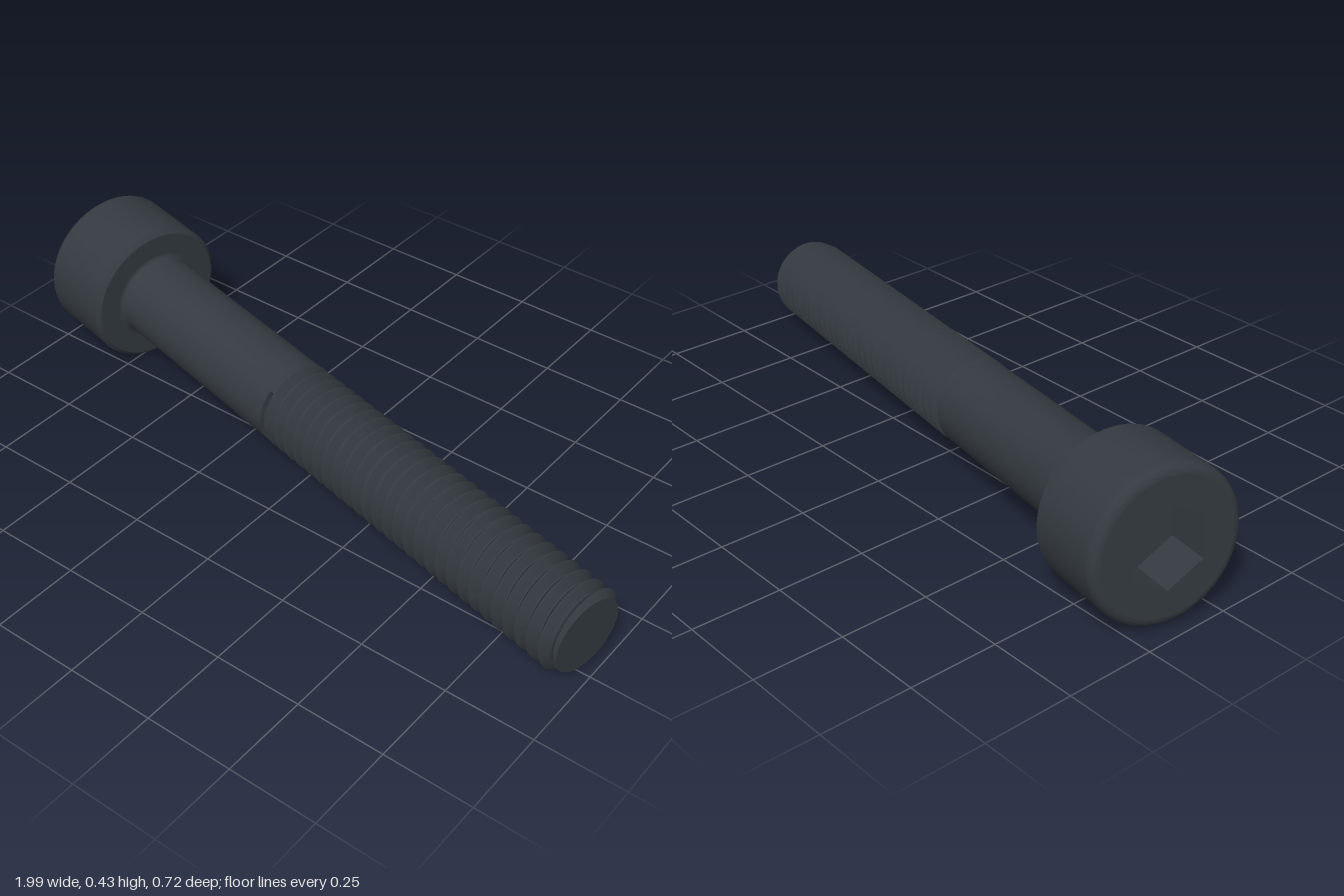
import * as THREE from 'three';
import { toCreasedNormals } from 'three/addons/utils/BufferGeometryUtils.js';

const HEAD_R = 0.2095, HEAD_H = 0.247, FILLET = 0.026;
const SHANK_R = 0.122, CREST_R = 0.1235, ROOT_R = 0.1, TIP_R = 0.106;
const LENGTH = 1.977, THREAD_START = 0.885, PITCH = 0.0395;
const HEX_R = 0.114, HEX_DEPTH = 0.124;
const SEGMENTS = 64;

const steel = new THREE.MeshStandardMaterial({ color: 0x343a40, side: THREE.DoubleSide });
steel.name = 'dark steel';

function part(name, geometry, y = 0) {
  const mesh = new THREE.Mesh(geometry, steel);
  mesh.name = name;
  mesh.position.y = y;
  return mesh;
}

function lathe(points) {
  const profile = points.map(([r, y]) => new THREE.Vector2(r, y));
  return toCreasedNormals(new THREE.LatheGeometry(profile, SEGMENTS), 0.5);
}

// Quarter-round profile points about (r, y), from angle a to angle b
function arc(r, y, radius, a, b, steps = 6) {
  return Array.from({ length: steps + 1 }, (_, i) => {
    const t = a + (b - a) * i / steps;
    return [r + radius * Math.cos(t), y + radius * Math.sin(t)];
  });
}

// Helical thread: rows of crest and root points that climb one pitch per turn
function threadGeometry() {
  const rows = [[0, CREST_R], [0.1, CREST_R], [0.5, ROOT_R], [0.62, ROOT_R]];
  const turns = Math.ceil((LENGTH - THREAD_START) / PITCH) + 1;
  const positions = [], index = [];
  let count = 0;
  for (let turn = -1; turn < turns; turn++) {
    for (const [offset, radius] of rows) {
      for (let j = 0; j <= SEGMENTS; j++) {
        const a = j / SEGMENTS * Math.PI * 2;
        const raw = THREAD_START + PITCH * (turn + offset + j / SEGMENTS);
        const y = Math.min(Math.max(raw, THREAD_START), LENGTH);
        // run-out to the shank, and a chamfer at the tip
        let r = raw <= THREAD_START ? SHANK_R : radius;
        r = raw >= LENGTH ? TIP_R : Math.min(r, TIP_R + LENGTH - y);
        positions.push(r * Math.sin(a), y, r * Math.cos(a));
      }
      count++;
    }
  }
  const w = SEGMENTS + 1;
  for (let i = 0; i < count - 1; i++) {
    for (let j = 0; j < SEGMENTS; j++) {
      const a = i * w + j, b = a + 1, c = a + w, d = c + 1;
      index.push(a, b, c, b, d, c);
    }
  }
  const geometry = new THREE.BufferGeometry();
  geometry.setAttribute('position', new THREE.Float32BufferAttribute(positions, 3));
  geometry.setIndex(index);
  return toCreasedNormals(geometry, 0.5);
}

// Flat head face with a hexagonal opening
function headFaceGeometry() {
  const shape = new THREE.Shape().absarc(0, 0, HEAD_R - FILLET, 0, Math.PI * 2);
  const hex = Array.from({ length: 6 }, (_, i) => new THREE.Vector2(
    HEX_R * Math.cos(i * Math.PI / 3), HEX_R * Math.sin(i * Math.PI / 3)));
  shape.holes.push(new THREE.Path(hex));
  return new THREE.ShapeGeometry(shape, SEGMENTS / 2).rotateX(Math.PI / 2);
}

export function createModel() {
  const model = new THREE.Group();
  model.name = 'socketHeadScrew';
  const screw = new THREE.Group();
  screw.name = 'screw';
  model.add(screw);

  // Head: rounded outer rim, small chamfer beneath
  screw.add(part('head', lathe([
    ...arc(HEAD_R - FILLET, FILLET, FILLET, -Math.PI / 2, 0),
    [HEAD_R, HEAD_H - 0.012], [HEAD_R - 0.012, HEAD_H], [SHANK_R, HEAD_H],
  ])));
  screw.add(part('headFace', headFaceGeometry()));

  // Hexagonal drive socket
  const walls = new THREE.CylinderGeometry(HEX_R, HEX_R, HEX_DEPTH, 6, 1, true, Math.PI / 6).toNonIndexed();
  walls.computeVertexNormals();
  screw.add(part('socketWalls', walls, HEX_DEPTH / 2));
  screw.add(part('socketFloor', new THREE.CircleGeometry(HEX_R, 6).rotateX(Math.PI / 2), HEX_DEPTH));

  // Plain shank with a fillet under the head
  screw.add(part('shank', lathe([
    ...arc(SHANK_R + 0.012, HEAD_H + 0.012, 0.012, Math.PI * 1.5, Math.PI, 4),
    [SHANK_R, THREAD_START],
  ])));

  // Threaded end and its flat tip
  screw.add(part('thread', threadGeometry()));
  screw.add(part('tip', new THREE.CircleGeometry(TIP_R, SEGMENTS).rotateX(-Math.PI / 2), LENGTH));

  // Lay the screw on its side, with socket corners pointing up and down
  const axis = new THREE.Vector3(1.933, -0.098, 0.404).normalize();
  const up = new THREE.Vector3(0, 1, 0).addScaledVector(axis, -axis.y).normalize();
  const side = new THREE.Vector3().crossVectors(up, axis);
  screw.quaternion.setFromRotationMatrix(new THREE.Matrix4().makeBasis(up, axis, side));
  screw.position.set(-0.956, 0.222, -0.158);
  return model;
}
